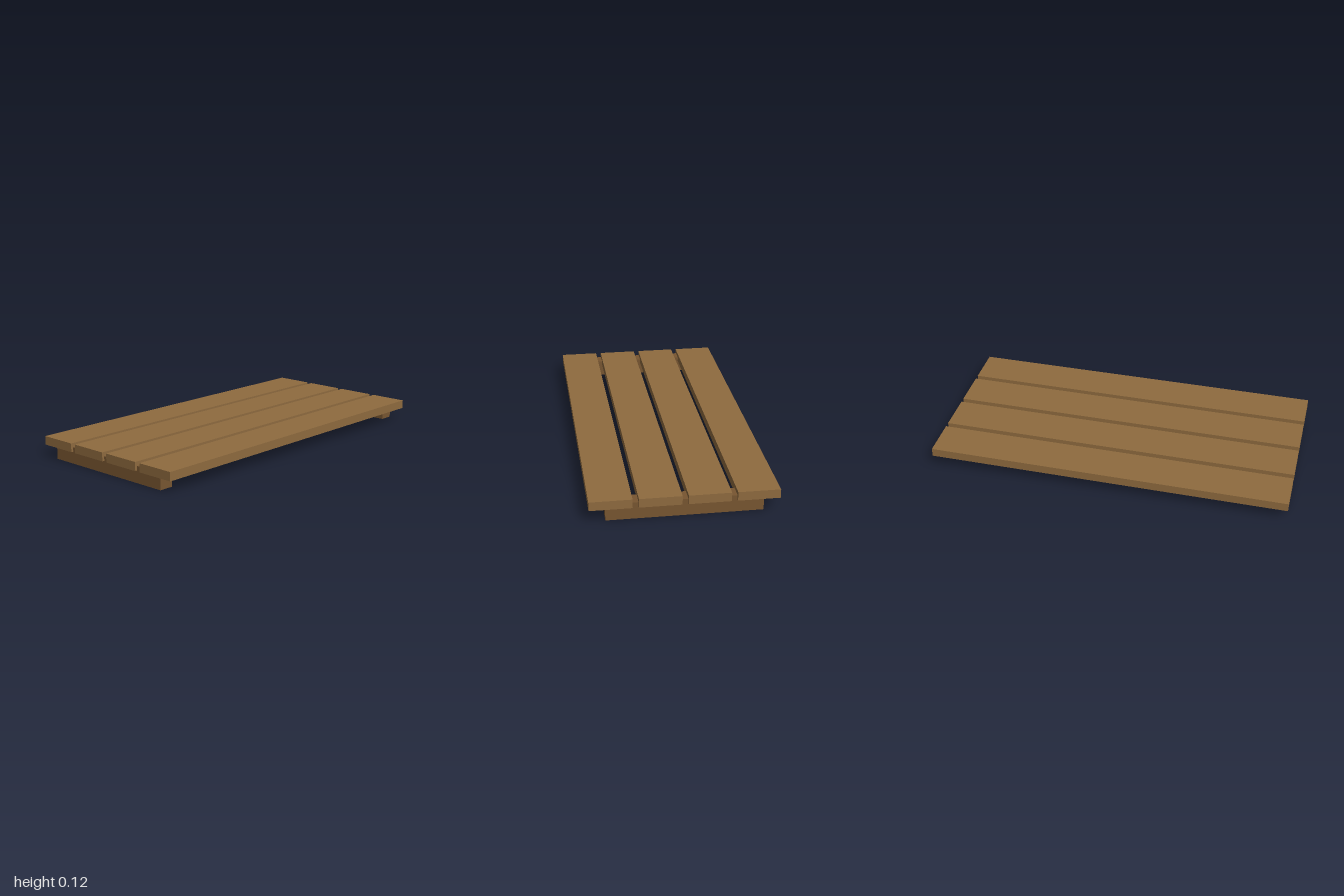
import * as THREE from 'three';

export function createModel() {
  const group = new THREE.Group();
  const plankWood = new THREE.MeshStandardMaterial({ color: 0x8f6b3f });
  const beamWood = new THREE.MeshStandardMaterial({ color: 0x785631 });

  function addBox(name, size, position, material) {
    const mesh = new THREE.Mesh(new THREE.BoxGeometry(...size), material);
    mesh.name = name;
    mesh.position.set(...position);
    group.add(mesh);
  }

  // Four long deck planks with narrow gaps between them
  const bottom = 0.067, top = 0.115, pitch = 0.25;
  for (let i = 0; i < 4; i++) {
    addBox(`plank${i + 1}`, [2, top - bottom, 0.219],
      [0, (bottom + top) / 2, (i - 1.5) * pitch], plankWood);
  }

  // Two cross beams, let into the underside of the planks
  const beamHeight = 0.091;
  for (const [name, side] of [['leftBeam', 1], ['rightBeam', -1]]) {
    addBox(name, [0.08, beamHeight, 0.803],
      [side * 0.947, beamHeight / 2, 0], beamWood);
  }

  return group;
}
